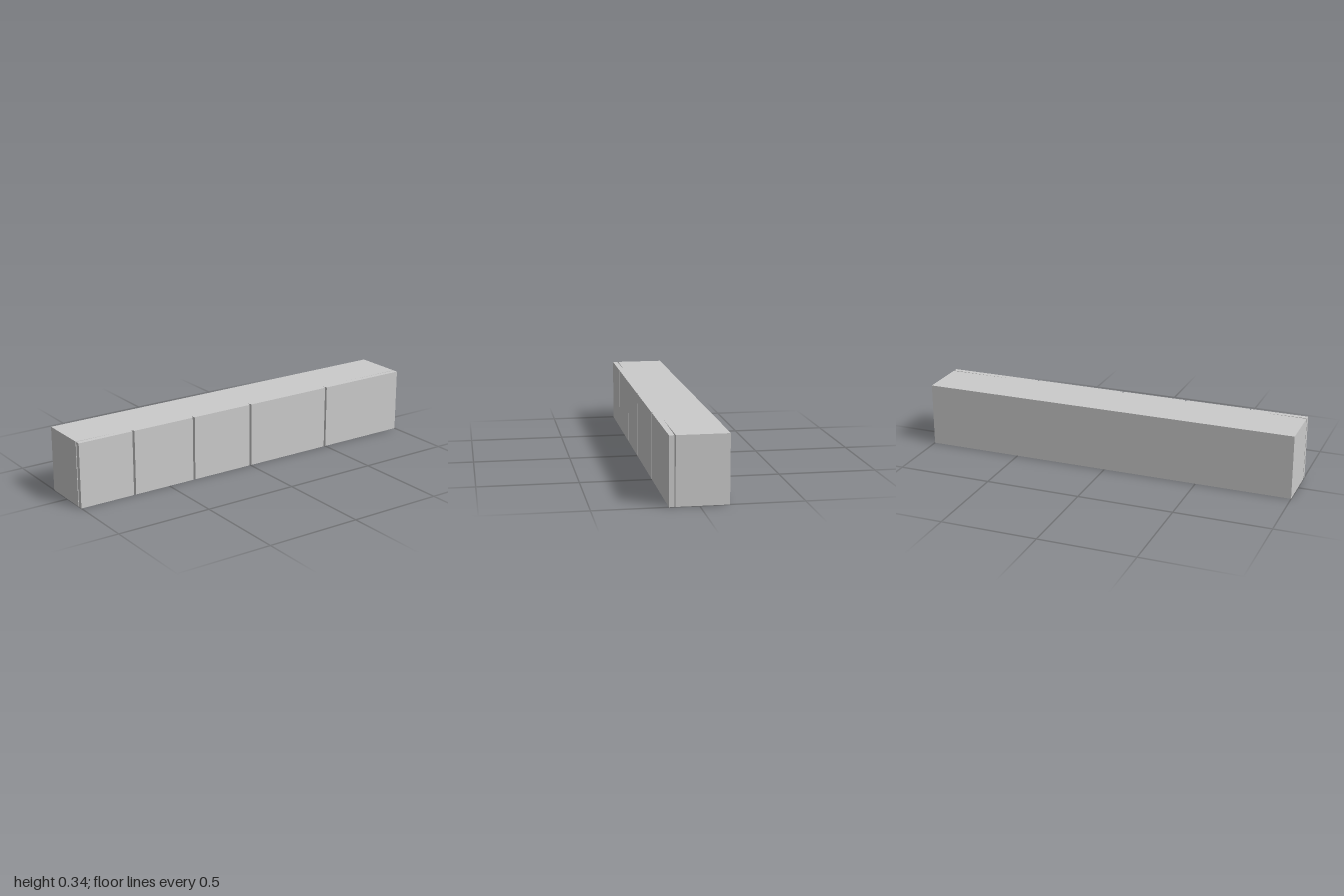
import * as THREE from 'three';

const HEIGHT = 0.335, FRONT = 0.142, BACK = -0.142;
const SLIT_BACK = 0.111, SLIT_FRONT = 0.117;

export function createModel() {
  const group = new THREE.Group();
  const material = new THREE.MeshStandardMaterial({ color: 0xcccccc });

  // Plan outline as [x, z]: back edge, then the right-hand slit behind the front panels
  const outline = [
    [-1, BACK], [1, BACK],
    [1, SLIT_BACK], [0.63, 0.112], [0.84, 0.114], [1, SLIT_FRONT],
    [1, FRONT],
  ];

  // V-shaped joints between the front panels
  for (const x of [0.495, 0, -0.35, -0.7]) {
    outline.push([x + 0.006, FRONT], [x, 0.122], [x - 0.006, FRONT]);
  }

  // Slit at the other end
  outline.push([-1, FRONT], [-1, SLIT_FRONT], [-0.85, 0.114], [-0.78, 0.112], [-1, SLIT_BACK]);

  // Raise the plan to full height
  const shape = new THREE.Shape(outline.map(([x, z]) => new THREE.Vector2(x, -z)));
  const geometry = new THREE.ExtrudeGeometry(shape, { depth: HEIGHT, bevelEnabled: false });
  geometry.rotateX(-Math.PI / 2);

  const cabinet = new THREE.Mesh(geometry, material);
  cabinet.name = 'panelledCabinet';
  group.add(cabinet);
  return group;
}
